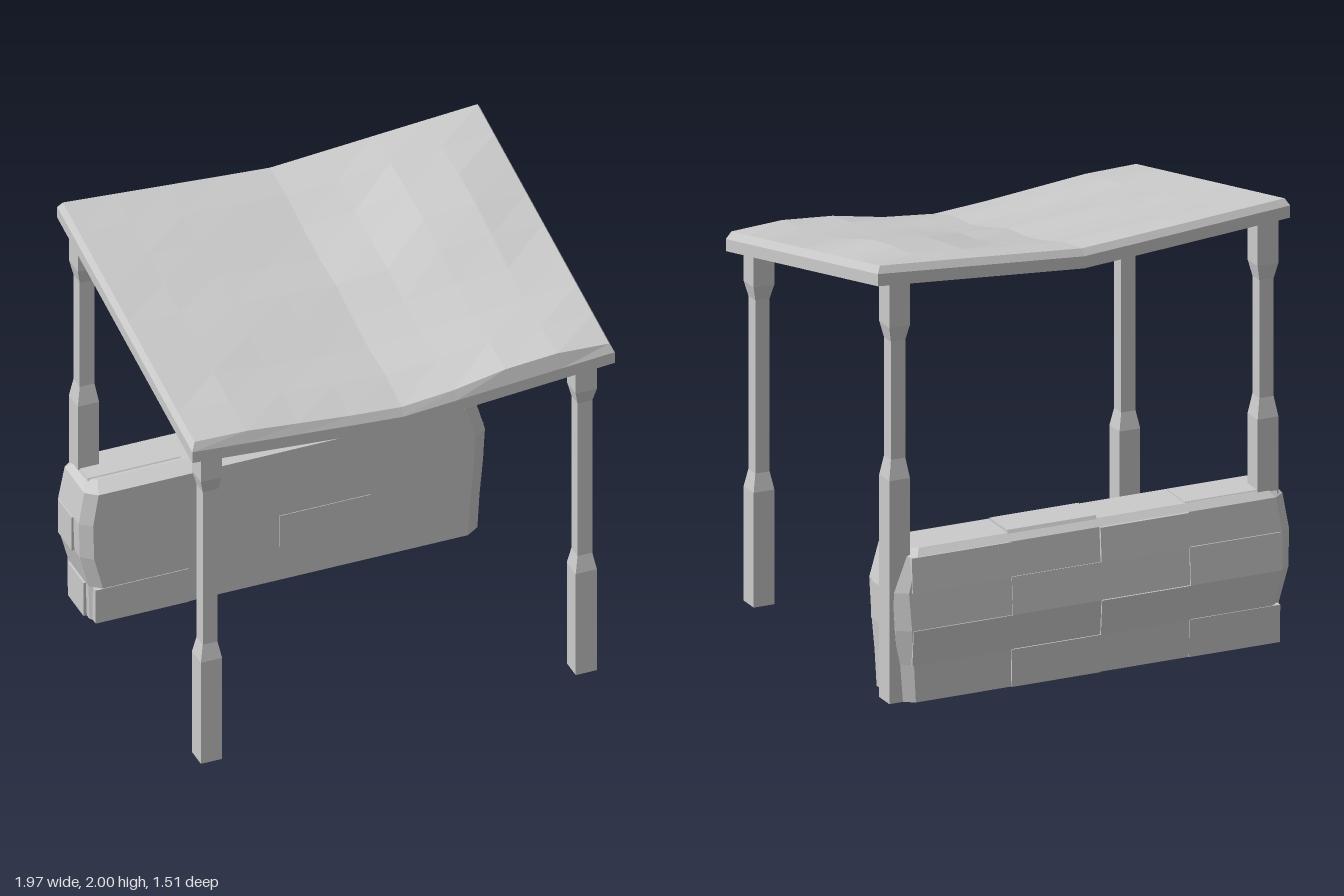
import * as THREE from 'three';

const material = new THREE.MeshStandardMaterial({ color: 0xcccccc, flatShading: true, roughness: 0.9 });

// Segmented box whose vertices are placed by a rule on their grid indices
function gridBox(name, nx, ny, nz, place) {
  const geo = new THREE.BoxGeometry(1, 1, 1, nx, ny, nz);
  const p = geo.attributes.position;
  for (let v = 0; v < p.count; v++) {
    const i = Math.round((p.getX(v) + 0.5) * nx);
    const j = Math.round((p.getY(v) + 0.5) * ny);
    const k = Math.round((p.getZ(v) + 0.5) * nz);
    p.setXYZ(v, ...place(i, j, k));
  }
  geo.computeVertexNormals();
  const mesh = new THREE.Mesh(geo, material);
  mesh.name = name;
  return mesh;
}

// Height of the roof's underside: sloped to the front, sagging along the middle
const underside = (x, z) => 1.51 + 0.077 * Math.abs(x) + 0.223 * (0.75 - z);

// Uneven swelling of the roof's top
function swell(x, z) {
  const bell = (d, w) => Math.exp(-(d * d) / (w * w));
  const edge = Math.max(0, 1 - Math.pow(Math.abs(x) / 0.95, 4));
  const ends = Math.min(1, (z + 0.73) / 0.25);
  const hump = 0.058 * bell(x - 0.68, 0.3) * bell(z + 0.22, 0.35);
  const lip = 0.05 * bell(x - 0.66, 0.28) * bell(z - 0.75, 0.22);
  const ripple = 0.012 * Math.cos((z - 0.03) * 11.2 + x * 0.8) * bell(x + 0.1, 0.65);
  const leftLip = 0.018 * bell(x + 0.68, 0.2) * bell(z - 0.7, 0.3);
  return edge * ends * (hump + lip + ripple * Math.min(1, (0.76 - z) / 0.2) + leftLip);
}

function makeRoof() {
  return gridBox('roof', 8, 2, 8, (i, j, k) => {
    const inset = j === 2 ? 0.018 : 0;
    const x = 0.005 + (i / 4 - 1) * (0.975 - inset);
    const z = 0.012 + (k / 4 - 1) * (0.742 - inset);
    const rise = [0, 0.055, 0.09][j] + (j === 2 ? swell(x, z) : 0);
    return [x, underside(x, z) + rise, z];
  });
}

// Square post: thick foot and head, slimmer shaft between
function makePost(name, x, z, footTop, shaftBase, shaftTop, headBase) {
  const wide = 0.049, slim = 0.034;
  const ys = [0, footTop, shaftBase, shaftTop, headBase, 0];
  const rs = [wide, wide, slim, slim, wide, wide];
  return gridBox(name, 1, 5, 1, (i, j, k) => {
    const px = x + (i * 2 - 1) * rs[j];
    const pz = z + (k * 2 - 1) * rs[j];
    return [px, j === 5 ? underside(px, pz) + 0.01 : ys[j], pz];
  });
}

// Stone wall between the back posts, with bevelled, bulging ends
const rowY = [0, 0.17, 0.33, 0.5, 0.655, 0.685];
const backZ = [-0.73, -0.732, -0.745, -0.735, -0.725, -0.695];
const columnX = [-0.92, -0.49, -0.07, 0.35, 0.82];

function makeWallCore() {
  const leftX = [-0.93, -0.935, -0.975, -0.98, -0.955, -0.93];
  const rightX = [0.86, 0.87, 0.885, 0.895, 0.85, 0.83];
  return gridBox('wallCore', 6, 5, 3, (i, j, k) => {
    const x = [leftX[j], leftX[j] + 0.05, -0.49, -0.07, 0.35, rightX[j] - 0.06, rightX[j]][i];
    const front = j === 5 ? -0.5 : -0.43;
    const bevel = i === 0 || i === 6 ? 0.04 : 0;
    const b = backZ[j] + bevel, f = front - bevel;
    return [x, rowY[j], b + (f - b) * [0, 0.2, 0.8, 1][k]];
  });
}

// Thin stones standing slightly proud of the wall
function makeStones(wall) {
  const back = [[0, 0, 0.004], [2, 0, 0.006], [1, 1, 0.008], [3, 1, 0.005], [0, 2, 0.006], [2, 2, 0.004], [1, 3, 0.012], [3, 3, 0.006]];
  for (const [c, r, out] of back) {
    wall.add(gridBox('backStone', 1, 1, 1, (i, j, k) =>
      [columnX[c + i], rowY[r + j], backZ[r + j] + (k ? 0.03 : -out)]));
  }
  for (const [c, r] of [[0, 0], [2, 1]]) {
    wall.add(gridBox('frontStone', 1, 1, 1, (i, j, k) =>
      [columnX[c + i], rowY[r + j], k ? -0.427 : -0.46]));
  }
  for (const [c, top] of [[0, 0.69], [2, 0.697]]) {
    wall.add(gridBox('capStone', 1, 1, 1, (i, j, k) =>
      [columnX[c + i], j ? top : 0.66, k ? -0.5 - j * 0.02 : -0.71 + j * 0.02]));
  }
  // End stones
  for (const [x0, x1, r, z0, z1] of [[-0.9, -0.987, 2, -0.68, -0.53], [-0.9, -0.945, 0, -0.67, -0.5], [0.905, 0.84, 2, -0.6, -0.51]]) {
    wall.add(gridBox('endStone', 1, 1, 1, (i, j, k) =>
      [i ? Math.max(x0, x1) : Math.min(x0, x1), rowY[r + j], k ? z1 : z0]));
  }
}

export function createModel() {
  const model = new THREE.Group();
  model.name = 'shelter';
  model.add(makeRoof());

  model.add(makePost('frontPostLeft', 0.862, 0.673, 0.52, 0.6, 1.385, 1.45));
  model.add(makePost('frontPostRight', -0.868, 0.673, 0.52, 0.6, 1.385, 1.45));
  model.add(makePost('backPostLeft', 0.862, -0.65, 1.01, 1.1, 1.635, 1.705));
  model.add(makePost('backPostRight', -0.88, -0.65, 1.01, 1.1, 1.635, 1.705));

  const wall = new THREE.Group();
  wall.name = 'stoneWall';
  wall.add(makeWallCore());
  makeStones(wall);
  model.add(wall);
  return model;
}
